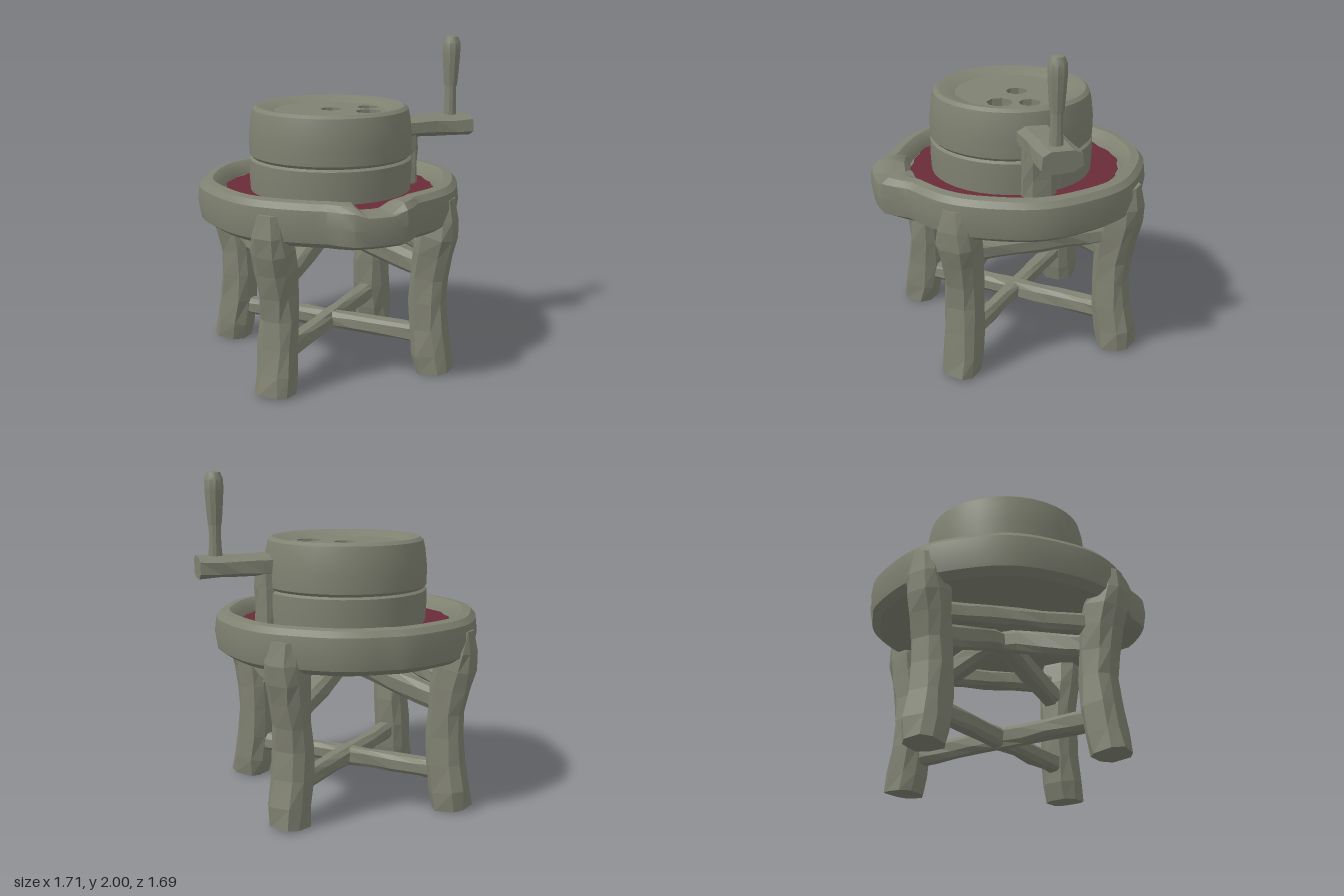
import * as THREE from 'three';
import { toCreasedNormals } from 'three/addons/utils/BufferGeometryUtils.js';

const stone = new THREE.MeshStandardMaterial({ color: 0x7f8171 });
stone.name = 'greenish grey';
const mash = new THREE.MeshStandardMaterial({ color: 0x692c38 });
mash.name = 'dark red';

const V = (x, y, z) => new THREE.Vector3(x, y, z);
let seed = 7;
const rand = () => ((seed = (seed * 16807) % 2147483647) / 2147483647) - 0.5;

function add(parent, name, geometry, material = stone) {
  const mesh = new THREE.Mesh(geometry, material);
  mesh.name = name;
  parent.add(mesh);
  return mesh;
}

const lathe = (points, segments, crease = 0.6) =>
  toCreasedNormals(new THREE.LatheGeometry(points.map(([x, y]) => new THREE.Vector2(x, y)), segments), crease);

// Rough-hewn beam with chamfered square sections: path of [point, width, height]
function beam(path, side, rough = 0.012) {
  const corners = [[1, 0.55], [0.55, 1], [-0.55, 1], [-1, 0.55], [-1, -0.55], [-0.55, -1], [0.55, -1], [1, -0.55]];
  const n = corners.length, pos = [], idx = [];
  path.forEach(([p, w, h], i) => {
    const t = path[Math.min(i + 1, path.length - 1)][0].clone()
      .sub(path[Math.max(i - 1, 0)][0]).normalize();
    const up = t.clone().cross(side);
    corners.forEach(([a, b]) => {
      const v = p.clone().addScaledVector(side, a * w / 2 + rand() * rough)
        .addScaledVector(up, b * h / 2 + rand() * rough);
      pos.push(v.x, Math.max(0, v.y), v.z);
    });
  });
  for (let i = 0; i < path.length - 1; i++) {
    for (let j = 0; j < n; j++) {
      const a = i * n + j, b = i * n + (j + 1) % n;
      idx.push(a, b, b + n, a, b + n, a + n);
    }
  }
  const last = (path.length - 1) * n;
  for (let j = 1; j < n - 1; j++) idx.push(0, j + 1, j, last, last + j, last + j + 1);
  const g = new THREE.BufferGeometry();
  g.setAttribute('position', new THREE.Float32BufferAttribute(pos, 3));
  g.setIndex(idx);
  const flat = g.toNonIndexed();
  flat.computeVertexNormals();
  return flat;
}

// Straight beam cut into a few hewn lengths
function straight(a, b, w, h, side, cuts = 6) {
  const path = [];
  for (let i = 0; i <= cuts; i++) path.push([a.clone().lerp(b, i / cuts), w, h]);
  return beam(path, side);
}

// Round basin with a pouring spout pulled out at the front
function basinGeometry() {
  const g = new THREE.LatheGeometry([
    [0, 0.91], [0.735, 0.91], [0.785, 0.945], [0.8, 1.04], [0.79, 1.13],
    [0.76, 1.163], [0.71, 1.17], [0.668, 1.14], [0.645, 1.09], [0, 1.09],
  ].map(([x, y]) => new THREE.Vector2(x, y)), 72);
  const p = g.attributes.position;
  for (let i = 0; i < p.count; i++) {
    const x = p.getX(i), z = p.getZ(i), r = Math.hypot(x, z);
    if (r < 0.6) continue;
    const angle = Math.abs(Math.atan2(x, z));
    const pull = 1 - THREE.MathUtils.smoothstep(angle, 0.16, 0.37);
    const wobble = 0.006 * Math.sin(angle * 9 + Math.sign(x));
    const k = (r + pull * 0.09 * Math.min(1, (r - 0.645) / 0.13) + wobble * (1 - pull)) / r;
    p.setX(i, x * k);
    p.setZ(i, z * k);
    if (angle < 0.11) p.setY(i, Math.min(p.getY(i), 1.105));
  }
  return toCreasedNormals(g, 0.6);
}

// Red layer lying in the basin, with a ragged outer edge
function mashGeometry() {
  const g = new THREE.RingGeometry(0.46, 0.65, 90, 1);
  const p = g.attributes.position;
  for (let i = 0; i < p.count; i++) {
    const x = p.getX(i), y = p.getY(i), r = Math.hypot(x, y);
    if (r < 0.6) continue;
    const a = Math.atan2(y, x);
    const k = (0.638 + 0.012 * Math.sin(a * 17) * Math.cos(a * 7)) / r;
    p.setXY(i, x * k, y * k);
  }
  return g.rotateX(-Math.PI / 2);
}

// Top disc of the millstone with three feed holes
function discGeometry(holes) {
  const shape = new THREE.Shape().absarc(0, 0, 0.345, 0, Math.PI * 2);
  holes.forEach(([x, z, r]) => {
    const hole = new THREE.Path();
    for (let i = 0; i < 8; i++) {
      const a = -i * Math.PI / 4 + 0.3;
      hole[i ? 'lineTo' : 'moveTo'](x + r * Math.cos(a), -z + r * Math.sin(a));
    }
    hole.closePath();
    shape.holes.push(hole);
  });
  return new THREE.ExtrudeGeometry(shape, { depth: 0.1, bevelEnabled: false, curveSegments: 32 })
    .rotateX(-Math.PI / 2);
}

export function createModel() {
  const model = new THREE.Group();
  model.name = 'handMill';

  // Stand and basin share one centre
  const stand = new THREE.Group();
  stand.name = 'stand';
  stand.position.set(-0.055, 0, -0.055);
  model.add(stand);

  add(stand, 'basin', basinGeometry());
  add(stand, 'redMash', mashGeometry(), mash).position.y = 1.095;

  // Four bowed legs on the diagonals
  const legProfile = [
    [0.715, 0, 0.21], [0.695, 0.12, 0.22], [0.672, 0.28, 0.21], [0.662, 0.45, 0.2], [0.668, 0.6, 0.2],
    [0.69, 0.75, 0.215], [0.715, 0.87, 0.22], [0.735, 0.97, 0.2], [0.735, 1.09, 0.15],
  ];
  for (let i = 0; i < 4; i++) {
    const a = Math.PI / 4 + i * Math.PI / 2;
    const out = V(Math.sin(a), 0, Math.cos(a)), side = V(Math.cos(a), 0, -Math.sin(a));
    const at = (r, y) => out.clone().multiplyScalar(r).setY(y);
    add(stand, 'leg', beam(legProfile.map(([r, y, s]) => [at(r, y), s, s]), side, 0.018));

    // Arched brace rising from the leg to the middle
    add(stand, 'archBrace', beam([
      [at(0.66, 0.65), 0.12, 0.13], [at(0.5, 0.695), 0.12, 0.13], [at(0.33, 0.745), 0.12, 0.13],
      [at(0.15, 0.81), 0.12, 0.13], [at(-0.03, 0.84), 0.12, 0.11],
    ], side));
  }

  for (const s of [-1, 1]) {
    // Crossed lower stretchers
    const d = Math.SQRT1_2 * 0.66;
    add(stand, 'stretcher', straight(V(-d, 0.225, -s * d), V(d, 0.225, s * d), 0.1, 0.11,
      V(s, 0, -1).normalize(), 8));
    // Rails joining the front and back legs
    add(stand, 'sideRail', straight(V(s * 0.47, 0.78, -0.45), V(s * 0.47, 0.78, 0.45), 0.11, 0.11, V(1, 0, 0)));
  }

  // Millstone in two courses with a dished top
  const mill = new THREE.Group();
  mill.name = 'millstone';
  mill.position.set(-0.055, 0, -0.03);
  model.add(mill);
  add(mill, 'lowerStone', lathe([[0, 1.08], [0.49, 1.08], [0.497, 1.2], [0.495, 1.285], [0.475, 1.3], [0, 1.3]], 36));
  add(mill, 'upperStone', lathe([
    [0.3, 1.295], [0.475, 1.295], [0.495, 1.315], [0.497, 1.42], [0.485, 1.53],
    [0.472, 1.585], [0.45, 1.603], [0.41, 1.597], [0.34, 1.57],
  ], 36));
  const holes = [[0.015, -0.03, 0.065], [0.255, -0.03, 0.065], [0.195, 0.135, 0.078]];
  add(mill, 'holedTop', discGeometry(holes)).position.y = 1.47;
  add(mill, 'holeFloor', new THREE.CircleGeometry(0.345, 32).rotateX(-Math.PI / 2)).position.y = 1.48;

  // Crank: post on the stone, arm, spindle and grip
  const crank = new THREE.Group();
  crank.name = 'crank';
  model.add(crank);
  add(crank, 'crankPost', straight(V(0.43, 1.09, -0.03), V(0.43, 1.42, -0.03), 0.2, 0.14, V(0, 0, 1), 3));
  add(crank, 'crankArm', straight(V(0.36, 1.445, -0.02), V(0.85, 1.445, -0.02), 0.235, 0.125, V(0, 0, 1), 4));
  const spindle = add(crank, 'spindle', lathe([[0, 1.45], [0.045, 1.45], [0.036, 1.58], [0.036, 1.72], [0, 1.72]], 10));
  const grip = add(crank, 'grip', lathe([
    [0, 1.685], [0.04, 1.685], [0.046, 1.75], [0.055, 1.88], [0.055, 1.95], [0.038, 1.99], [0, 2],
  ], 10));
  for (const part of [spindle, grip]) part.position.set(0.742, 0, -0.02);

  return model;
}
